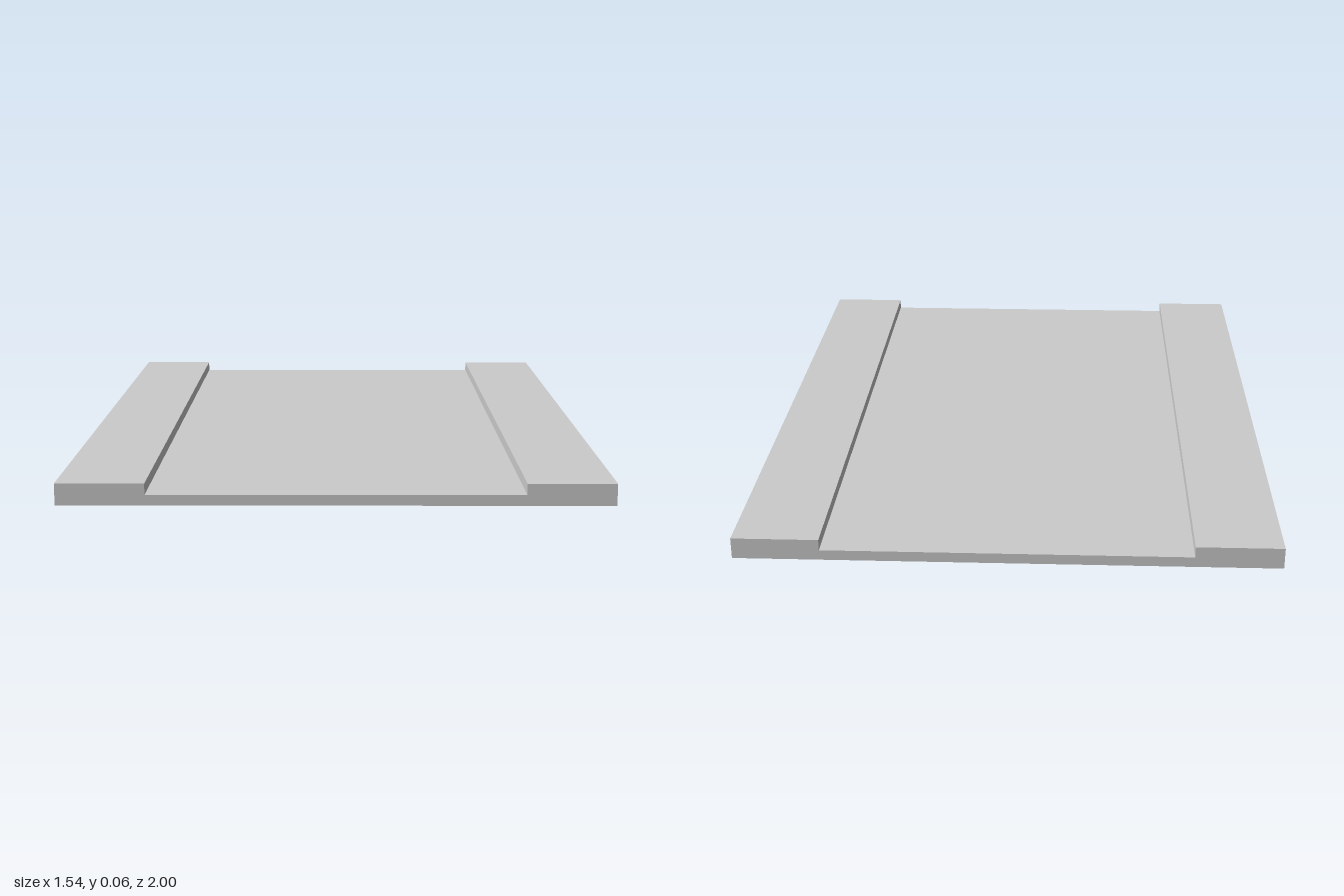
import * as THREE from 'three';

const LENGTH = 2;
const HALF_WIDTH = 0.768;
const HALF_ROAD = 0.522;
const ROAD_HEIGHT = 0.03;
const KERB_HEIGHT = 0.062;

export function createModel() {
  const group = new THREE.Group();
  group.name = 'roadSection';
  const material = new THREE.MeshStandardMaterial({ color: 0xcccccc, flatShading: true });

  // Slab standing on the ground, running the full length
  const addSlab = (name, width, height, x) => {
    const mesh = new THREE.Mesh(new THREE.BoxGeometry(width, height, LENGTH), material);
    mesh.name = name;
    mesh.position.set(x, height / 2, 0);
    group.add(mesh);
  };

  // Low roadway between two raised pavements
  addSlab('roadway', HALF_ROAD * 2, ROAD_HEIGHT, 0);
  const pavementWidth = HALF_WIDTH - HALF_ROAD;
  for (const side of [1, -1]) {
    addSlab(side > 0 ? 'leftPavement' : 'rightPavement', pavementWidth, KERB_HEIGHT,
      side * (HALF_ROAD + pavementWidth / 2));
  }

  return group;
}
